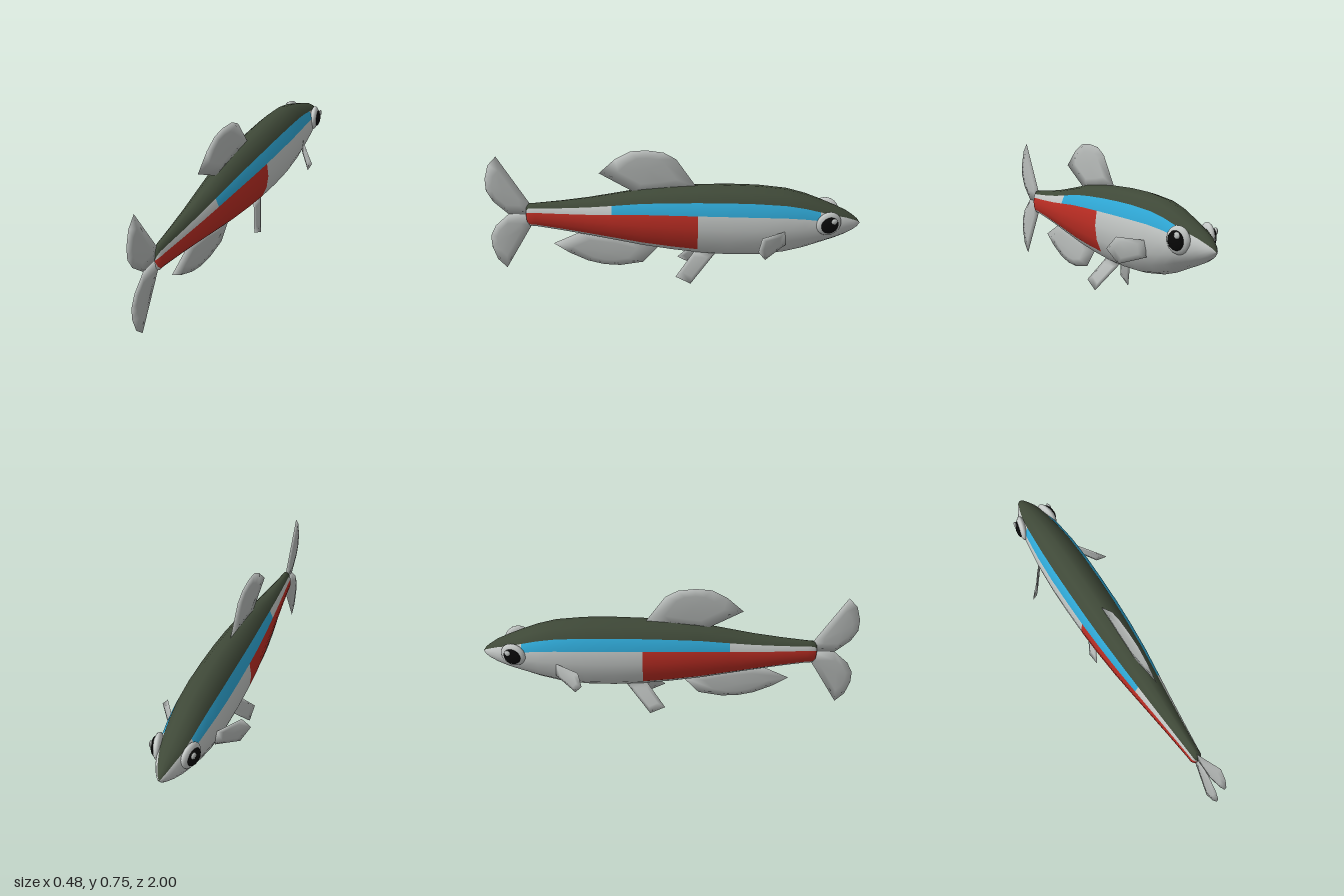
import * as THREE from 'three';

const paint = (name, color) => {
  const m = new THREE.MeshStandardMaterial({ color });
  m.name = name;
  return m;
};

// Body stations, tail to snout: z, top y, bottom y, half width
const STATIONS = [
  [0.795, 0.355, 0.355, 0], [0.79, 0.4, 0.31, 0.02], [0.775, 0.424, 0.287, 0.031], [0.74, 0.427, 0.286, 0.034],
  [0.6, 0.444, 0.267, 0.05], [0.45, 0.467, 0.243, 0.068], [0.32, 0.493, 0.22, 0.084], [0.16, 0.526, 0.192, 0.103],
  [0, 0.545, 0.171, 0.116], [-0.14, 0.556, 0.157, 0.123], [-0.3, 0.562, 0.149, 0.126], [-0.45, 0.56, 0.153, 0.126],
  [-0.6, 0.545, 0.176, 0.119], [-0.7, 0.518, 0.205, 0.108], [-0.78, 0.486, 0.237, 0.097], [-0.86, 0.452, 0.268, 0.08],
  [-0.92, 0.425, 0.293, 0.056], [-0.965, 0.395, 0.318, 0.032], [-0.985, 0.378, 0.335, 0.018], [-1, 0.355, 0.355, 0],
];

// Lofted body; each lengthwise strip takes one of four colours
function bodyGeometry() {
  const N = 16, pos = [], faces = [[], [], [], []];
  for (const [z, top, bottom, rx] of STATIONS) {
    for (let j = 0; j < N; j++) {
      const a = (j / N) * Math.PI * 2;
      pos.push(rx * Math.sin(a), (top + bottom) / 2 + ((top - bottom) / 2) * Math.cos(a), z);
    }
  }
  for (let i = 0; i < STATIONS.length - 1; i++) {
    const z = (STATIONS[i][0] + STATIONS[i + 1][0]) / 2;
    for (let j = 0; j < N; j++) {
      const strip = Math.min(j, N - 1 - j); // 0 at the back, 7 at the belly
      let colour = 0;
      if (strip < 2) colour = 1;
      else if (strip === 2 && z > -0.78 && z < 0.32) colour = 2;
      else if (strip > 2 && strip < 6 && z > -0.14) colour = 3;
      const k = (j + 1) % N;
      const a = i * N + j, b = i * N + k, c = a + N, d = b + N;
      faces[colour].push(a, b, c, c, b, d);
    }
  }
  const g = new THREE.BufferGeometry();
  g.setAttribute('position', new THREE.Float32BufferAttribute(pos, 3));
  g.setIndex(faces.flat());
  let start = 0;
  faces.forEach((f, m) => {
    g.addGroup(start, f.length, m);
    start += f.length;
  });
  g.computeVertexNormals();
  return g;
}

// Thin lens-shaped fin over an outline of [x, y, z] points
function finGeometry(outline, half) {
  const pts = outline.map((p) => new THREE.Vector3(...p));
  const n = pts.length;
  const centre = pts.reduce((s, p) => s.add(p), new THREE.Vector3()).divideScalar(n);
  const normal = new THREE.Vector3();
  pts.forEach((p, i) => {
    const q = pts[(i + 1) % n];
    normal.add(p.clone().sub(centre).cross(q.clone().sub(centre)));
  });
  normal.normalize();
  const pos = [], idx = [];
  const add = (v) => pos.push(v.x, v.y, v.z);
  pts.forEach(add);
  for (const side of [1, -1]) {
    const base = pos.length / 3;
    pts.forEach((p) => add(centre.clone().lerp(p, 0.6).addScaledVector(normal, side * half * 0.75)));
    add(centre.clone().addScaledVector(normal, side * half));
    for (let i = 0; i < n; i++) {
      const j = (i + 1) % n;
      const tris = [[i, j, base + i], [base + i, j, base + j], [base + i, base + j, base + n]];
      for (const [a, b, c] of tris) idx.push(...(side > 0 ? [a, b, c] : [a, c, b]));
    }
  }
  const g = new THREE.BufferGeometry();
  g.setAttribute('position', new THREE.Float32BufferAttribute(pos, 3));
  g.setIndex(idx);
  g.computeVertexNormals();
  return g;
}

export function createModel() {
  const silver = paint('silver', 0xc4c8c6);
  const olive = paint('darkOlive', 0x3f4938);
  const blue = paint('stripeBlue', 0x2fa8d6);
  const red = paint('flankRed', 0xbe2e24);
  const finGrey = paint('finGrey', 0xb9bdbb);
  const black = paint('pupilBlack', 0x080808);

  const model = new THREE.Group();
  model.name = 'fish';
  const add = (name, geometry, material) => {
    const mesh = new THREE.Mesh(geometry, material);
    mesh.name = name;
    model.add(mesh);
    return mesh;
  };

  add('body', bodyGeometry(), [silver, olive, blue, red]);

  // Fins on the centre plane, as [z, y]
  const flatFin = (name, zy) => add(name, finGeometry(zy.map(([z, y]) => [0, y, z]), 0.008), finGrey);
  flatFin('dorsalFin', [[0.19, 0.5], [0.388, 0.615], [0.3, 0.7], [0.22, 0.746], [0.136, 0.754],
    [0.045, 0.743], [-0.02, 0.706], [-0.125, 0.55], [0.03, 0.52]]);
  flatFin('analFin', [[0.5, 0.255], [0.655, 0.176], [0.57, 0.118], [0.47, 0.07], [0.38, 0.048],
    [0.29, 0.045], [0.163, 0.07], [0.075, 0.175], [0.28, 0.23]]);
  const lobe = [[0.768, 0], [0.768, 0.066], [0.928, 0.345], [0.976, 0.292], [1, 0.21],
    [1, 0.14], [0.968, 0.075], [0.89, 0]];
  flatFin('upperTailLobe', lobe.map(([z, y]) => [z, 0.355 + y]));
  flatFin('lowerTailLobe', lobe.map(([z, y]) => [z, 0.355 - y]));

  // Paired fins and eyes
  const pectoral = [[0.115, 0.355, -0.6], [0.2, 0.36, -0.475], [0.242, 0.303, -0.455], [0.2, 0.23, -0.495], [0.11, 0.272, -0.605]];
  const pelvic = [[0.045, 0.175, -0.12], [0.103, 0.045, -0.022], [0.103, 0.002, -0.104], [0.03, 0.165, -0.24]];
  for (const [label, s] of [['left', 1], ['right', -1]]) {
    const mirror = (pts) => pts.map(([x, y, z]) => [s * x, y, z]);
    add(label + 'PectoralFin', finGeometry(mirror(pectoral), 0.005), finGrey);
    add(label + 'PelvicFin', finGeometry(mirror(pelvic), 0.006), finGrey);

    const ball = (part, r, depth, x, y, z, material) => {
      const mesh = add(label + part, new THREE.SphereGeometry(r, 20, 14), material);
      mesh.scale.x = depth / r;
      mesh.position.set(s * x, y, z);
      mesh.rotation.y = s * 0.25;
    };
    ball('Eye', 0.068, 0.026, 0.082, 0.39, -0.825, silver);
    ball('Pupil', 0.047, 0.018, 0.1, 0.39, -0.829, black);
    ball('EyeGlint', 0.017, 0.008, 0.109, 0.418, -0.85, silver);
  }
  return model;
}
